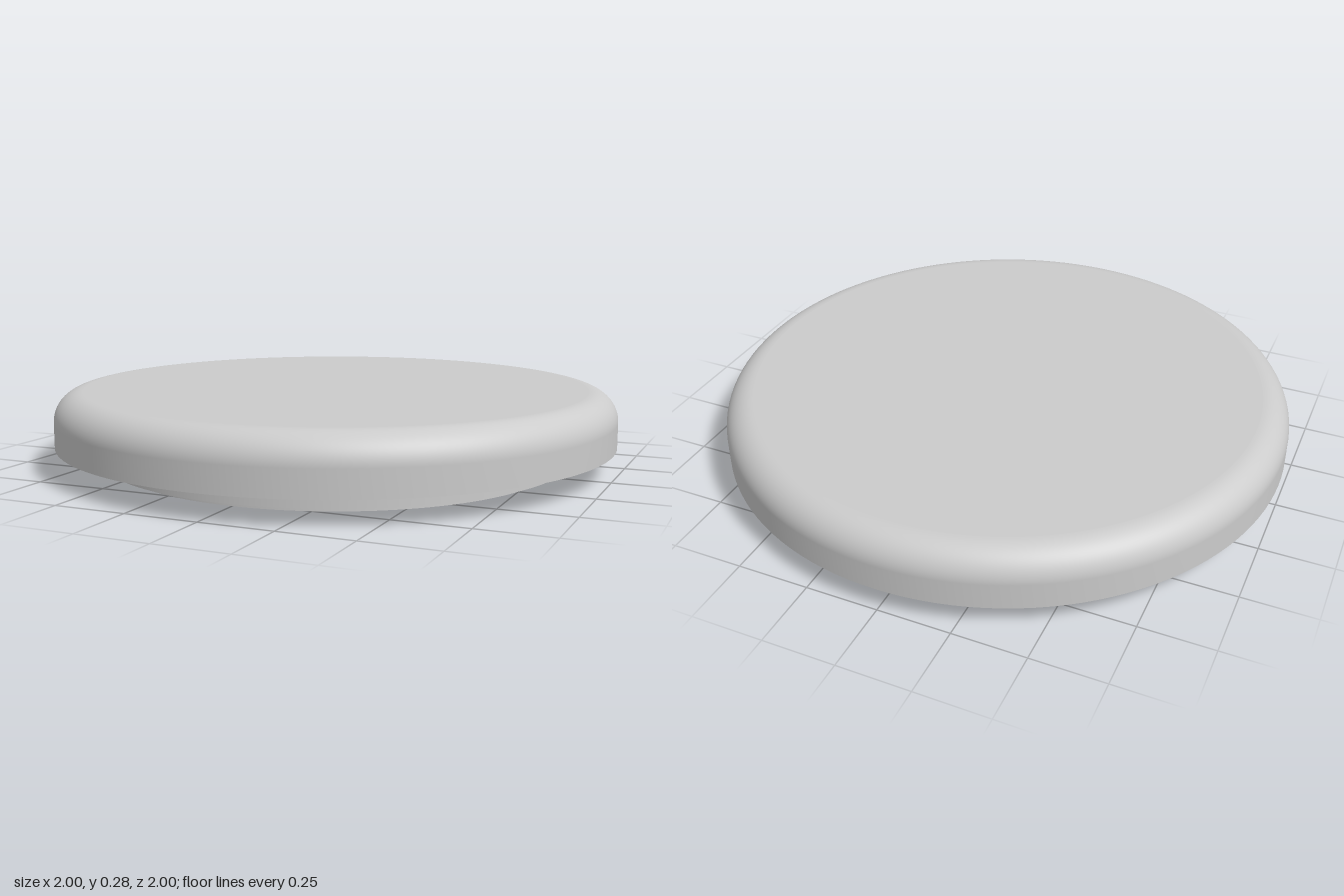
import * as THREE from 'three';

const SEGMENTS = 128;
const BASE_Y = 0.085, TOP_Y = 0.275, FILLET = 0.1;

export function createModel() {
  const group = new THREE.Group();
  const solid = new THREE.MeshStandardMaterial({ color: 0xcccccc });
  const thin = new THREE.MeshStandardMaterial({ color: 0xcccccc, side: THREE.DoubleSide });

  const add = (name, geometry, material, y) => {
    const mesh = new THREE.Mesh(geometry, material);
    mesh.name = name;
    mesh.position.y = y;
    group.add(mesh);
  };

  // Lid side: straight wall rolling over into a rounded shoulder
  const profile = [new THREE.Vector2(1, BASE_Y)];
  for (let i = 0; i <= 16; i++) {
    const a = (i / 16) * Math.PI / 2;
    profile.push(new THREE.Vector2(
      1 - FILLET + FILLET * Math.cos(a), TOP_Y - FILLET + FILLET * Math.sin(a)));
  }
  add('lidSide', new THREE.LatheGeometry(profile, SEGMENTS), solid, 0);

  // Flat top and underside
  const disc = (radius) => new THREE.CircleGeometry(radius, SEGMENTS);
  add('lidTop', disc(1 - FILLET).rotateX(-Math.PI / 2).rotateY(Math.PI / 2), solid, TOP_Y);
  add('lidUnderside', disc(1).rotateX(Math.PI / 2).rotateY(Math.PI / 2), solid, BASE_Y);

  // Two thin concentric skirts below the lid, with a groove between them
  const addSkirt = (name, radius, bottom) => {
    const height = BASE_Y - bottom;
    add(name, new THREE.CylinderGeometry(radius, radius, height, SEGMENTS, 1, true),
      thin, bottom + height / 2);
  };
  addSkirt('outerSkirt', 0.84, 0.02);
  addSkirt('innerSkirt', 0.79, 0);

  return group;
}
